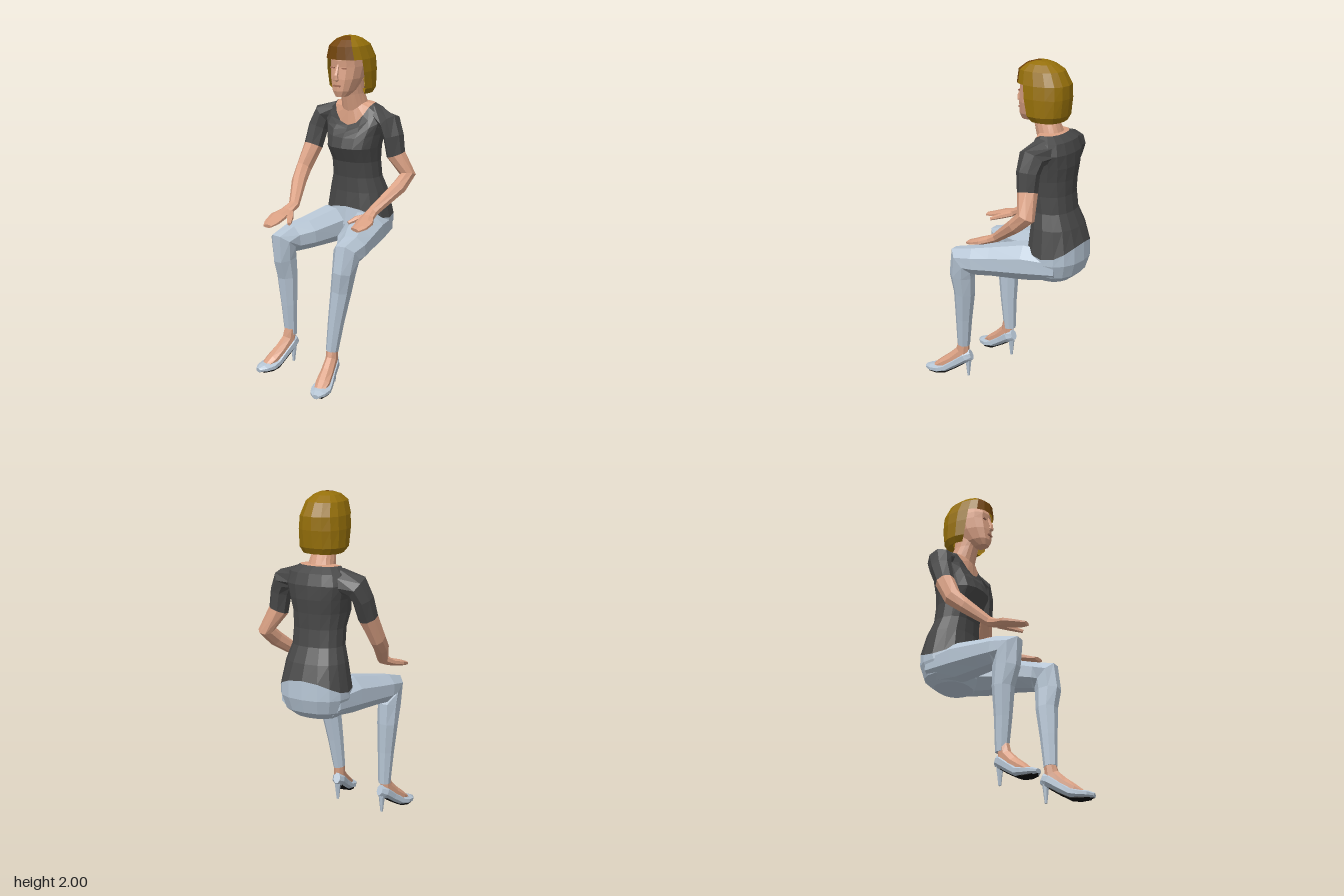
import * as THREE from 'three';

const mat = (name, color) => {
  const m = new THREE.MeshStandardMaterial({ color, flatShading: true, side: THREE.DoubleSide });
  m.name = name;
  return m;
};
const V = (x, y, z) => new THREE.Vector3(x, y, z);

// Skin stretched over a list of rings; pick(i, j) gives a material index or -1 for a gap
function loft(name, rings, mats, { pick = () => 0, start = true, end = true } = {}) {
  const n = rings[0].length, tris = mats.map(() => []);
  const tri = (k, ...pts) => pts.forEach(p => tris[k].push(p.x, p.y, p.z));
  for (let i = 0; i < rings.length - 1; i++) {
    for (let j = 0; j < n; j++) {
      const k = pick(i, j), q = (j + 1) % n;
      if (k < 0) continue;
      const [a, b, c, d] = [rings[i][j], rings[i][q], rings[i + 1][q], rings[i + 1][j]];
      tri(k, a, b, c);
      tri(k, a, c, d);
    }
  }
  const cap = (ring, flip, i) => {
    const mid = ring.reduce((s, p) => s.add(p), V(0, 0, 0)).divideScalar(n);
    ring.forEach((p, j) => {
      const q = ring[(j + 1) % n], k = Math.max(0, pick(i, j));
      flip ? tri(k, q, p, mid) : tri(k, p, q, mid);
    });
  };
  if (start) cap(rings[0], true, 0);
  if (end) cap(rings[rings.length - 1], false, rings.length - 1);
  const geo = new THREE.BufferGeometry();
  geo.setAttribute('position', new THREE.Float32BufferAttribute(tris.flat(), 3));
  let at = 0;
  tris.forEach((t, k) => { geo.addGroup(at, t.length / 3, k); at += t.length / 3; });
  geo.computeVertexNormals();
  const mesh = new THREE.Mesh(geo, mats.length > 1 ? mats : mats[0]);
  mesh.name = name;
  return mesh;
}

// Level ring: height, front z, back z, half width, lift(cos) bends its height
function level(y, front, back, rx, lift = () => 0, n = 16, square = 0.85) {
  const pw = v => Math.sign(v) * Math.abs(v) ** square;
  return Array.from({ length: n }, (_, j) => {
    const a = j / n * Math.PI * 2, c = Math.cos(a);
    return V(-0.03 + rx * pw(Math.sin(a)), y + lift(c),
      (front + back) / 2 + (front - back) / 2 * pw(c));
  });
}

// Rings across a path of [x, y, z, side radius, other radius]
function along(path, n = 8) {
  const pts = path.map(p => V(p[0], p[1], p[2])), last = pts.length - 1;
  return path.map((p, i) => {
    const back = pts[i].clone().sub(pts[Math.max(0, i - 1)]).normalize();
    const t = pts[Math.min(last, i + 1)].clone().sub(pts[i]).normalize().add(back).normalize();
    const s = V(1, 0, 0).addScaledVector(t, -t.x).normalize();
    const u = t.clone().cross(s);
    return Array.from({ length: n }, (_, j) => {
      const a = (j + 0.5) / n * Math.PI * 2;
      return pts[i].clone().addScaledVector(s, p[3] * Math.cos(a)).addScaledVector(u, p[4] * Math.sin(a));
    });
  });
}

export function createModel() {
  const skin = mat('skin', 0xd9a083), shade = mat('lip and eyelid', 0xa8705a);
  const shirt = mat('shirt grey', 0x484848), denim = mat('pale blue', 0xb6c5d4);
  const gold = mat('hair gold', 0x96700a), brown = mat('hair brown', 0x73450c);
  const black = mat('sole black', 0x0c0c0c);
  const model = new THREE.Group();
  model.name = 'seatedWoman';

  // Shirt with arched hem and scooped neckline
  const dip = d => c => -d * Math.max(0, c) ** 2;
  const hem = level(0.895, -0.165, -0.487, 0.21, c => 0.075 * c * c);
  const neckline = level(1.6, -0.18, -0.35, 0.125, dip(0.13));
  model.add(loft('shirt', [
    hem,
    level(1.06, -0.175, -0.455, 0.18),
    level(1.15, -0.175, -0.415, 0.153),
    level(1.25, -0.155, -0.405, 0.15),
    level(1.34, -0.105, -0.41, 0.162),
    level(1.42, -0.125, -0.42, 0.175, dip(0.02)),
    level(1.5, -0.15, -0.42, 0.195, dip(0.07)),
    level(1.565, -0.17, -0.4, 0.175, dip(0.115)),
    neckline,
  ], [shirt], { start: false, end: false }));

  // Pelvis
  model.add(loft('pelvis', [
    level(0.735, -0.2, -0.41, 0.13),
    level(0.78, -0.16, -0.465, 0.185),
    level(0.86, -0.15, -0.49, 0.21),
    hem,
  ], [denim], { end: false }));

  // Neck and head
  model.add(loft('neck', [
    neckline,
    level(1.605, -0.185, -0.33, 0.075, dip(0.05)),
    level(1.66, -0.16, -0.31, 0.065),
    level(1.74, -0.13, -0.3, 0.062),
  ], [skin], { start: false }));
  const flat = () => 0;
  model.add(loft('head', [
    level(1.655, -0.075, -0.16, 0.034, flat, 12),
    level(1.69, -0.063, -0.23, 0.062, flat, 12),
    level(1.76, -0.064, -0.29, 0.086, flat, 12),
    level(1.83, -0.072, -0.32, 0.094, flat, 12),
    level(1.87, -0.068, -0.32, 0.092, flat, 12),
    level(1.93, -0.09, -0.3, 0.08, flat, 12),
  ], [skin]));
  model.add(loft('nose', along([
    [-0.03, 1.845, -0.075, 0.007, 0.006],
    [-0.03, 1.785, -0.052, 0.014, 0.013],
    [-0.03, 1.762, -0.052, 0.018, 0.014],
    [-0.03, 1.753, -0.062, 0.012, 0.008],
  ], 6), [skin]));
  const plate = (name, x, y, z, w, h) => {
    const m = new THREE.Mesh(new THREE.BoxGeometry(w, h, 0.009), shade);
    m.position.set(x, y, z);
    m.name = name;
    model.add(m);
  };
  plate('mouth', -0.03, 1.722, -0.062, 0.045, 0.01);
  for (const s of [-1, 1]) plate('eyelid', -0.03 + s * 0.04, 1.825, -0.077, 0.03, 0.007);

  // Bobbed hair, open over the face, with a darker fringe
  model.add(loft('hair', [
    level(1.69, -0.2, -0.31, 0.075),
    level(1.665, -0.14, -0.345, 0.112),
    level(1.7, -0.1, -0.365, 0.135),
    level(1.8, -0.07, -0.377, 0.137),
    level(1.875, -0.058, -0.375, 0.13),
    level(1.95, -0.065, -0.335, 0.107),
    level(1.985, -0.11, -0.28, 0.07),
    level(2.0, -0.16, -0.24, 0.035),
  ], [gold, brown], {
    start: false,
    pick: (i, j) => {
      const off = Math.min(j, 15 - j);
      if (i < 4 && off < 3) return -1;
      return i >= 4 && off < 2 ? 1 : 0;
    },
  }));

  // Arms: sleeve, bare forearm and hand, thumb
  const arms = {
    right: [
      [[-0.16, 1.525, -0.3, 0.06, 0.08], [-0.265, 1.495, -0.275, 0.066, 0.08],
        [-0.29, 1.42, -0.25, 0.06, 0.07], [-0.3, 1.31, -0.21, 0.058, 0.06],
        [-0.323, 1.18, -0.14, 0.046, 0.055], [-0.305, 1.11, -0.06, 0.045, 0.046],
        [-0.25, 1.0, 0.07, 0.034, 0.03], [-0.262, 0.972, 0.13, 0.042, 0.023],
        [-0.272, 0.955, 0.2, 0.058, 0.021], [-0.268, 0.935, 0.27, 0.05, 0.016],
        [-0.262, 0.925, 0.32, 0.03, 0.011]],
      [[-0.24, 0.97, 0.12, 0.02, 0.018], [-0.2, 0.955, 0.18, 0.022, 0.017], [-0.163, 0.935, 0.24, 0.012, 0.01]],
    ],
    left: [
      [[0.1, 1.525, -0.3, 0.06, 0.08], [0.205, 1.495, -0.275, 0.066, 0.08],
        [0.235, 1.42, -0.27, 0.06, 0.07], [0.25, 1.31, -0.275, 0.058, 0.06],
        [0.317, 1.19, -0.305, 0.046, 0.055], [0.302, 1.125, -0.23, 0.045, 0.046],
        [0.225, 1.0, -0.06, 0.034, 0.03], [0.222, 0.975, -0.01, 0.042, 0.023],
        [0.235, 0.96, 0.04, 0.056, 0.021], [0.235, 0.945, 0.09, 0.05, 0.016],
        [0.225, 0.935, 0.13, 0.035, 0.011]],
      [[0.2, 0.975, -0.03, 0.02, 0.018], [0.16, 0.965, 0.01, 0.022, 0.017], [0.13, 0.945, 0.055, 0.012, 0.01]],
    ],
  };
  for (const [side, [path, thumb]] of Object.entries(arms)) {
    const rings = along(path);
    model.add(loft(side + 'Sleeve', rings.slice(0, 4), [shirt]));
    model.add(loft(side + 'ForearmAndHand', rings.slice(3), [skin]));
    model.add(loft(side + 'Thumb', along(thumb, 6), [skin]));
  }

  // Trouser legs, hip to ankle
  const legs = {
    right: [[-0.13, 0.84, -0.38, 0.1, 0.09], [-0.15, 0.84, -0.18, 0.12, 0.115],
      [-0.2, 0.82, 0.02, 0.105, 0.095], [-0.235, 0.81, 0.12, 0.085, 0.088],
      [-0.242, 0.8, 0.19, 0.075, 0.1], [-0.243, 0.7, 0.175, 0.066, 0.085],
      [-0.242, 0.58, 0.155, 0.062, 0.066], [-0.235, 0.4, 0.15, 0.049, 0.052], [-0.232, 0.2, 0.14, 0.037, 0.038]],
    left: [[0.07, 0.84, -0.38, 0.1, 0.09], [0.1, 0.84, -0.18, 0.125, 0.115],
      [0.155, 0.82, 0.02, 0.112, 0.095], [0.195, 0.81, 0.12, 0.092, 0.088],
      [0.208, 0.8, 0.19, 0.077, 0.1], [0.2, 0.7, 0.205, 0.068, 0.08],
      [0.18, 0.58, 0.205, 0.062, 0.066], [0.16, 0.4, 0.225, 0.049, 0.052], [0.142, 0.21, 0.242, 0.037, 0.04]],
  };
  for (const [side, path] of Object.entries(legs)) model.add(loft(side + 'Leg', along(path), [denim]));

  // Bare foot in a heeled pump with a dark sole
  const foot = (side, x, y, z, yaw) => {
    const g = new THREE.Group();
    g.name = side + 'Foot';
    g.add(loft('instep', along([
      [0, 0.225, 0.045, 0.034, 0.036], [0, 0.16, 0.055, 0.035, 0.045],
      [0, 0.1, 0.12, 0.04, 0.042], [0, 0.06, 0.19, 0.045, 0.03], [0, 0.035, 0.24, 0.035, 0.015],
    ]), [skin]));
    g.add(loft('shoe', along([
      [0, 0.145, -0.002, 0.022, 0.035], [0, 0.13, 0.035, 0.042, 0.042],
      [0, 0.085, 0.1, 0.046, 0.036], [0, 0.042, 0.165, 0.056, 0.032],
      [0, 0.028, 0.215, 0.064, 0.028], [0, 0.023, 0.265, 0.05, 0.023], [0, 0.018, 0.3, 0.02, 0.014],
    ]), [denim, black], { pick: (i, j) => (i > 0 && i < 6 && (j === 5 || j === 4 || j === 6) ? (j === 5 ? 1 : 0) : 0) }));
    // flat black sole under the arch and toe
    g.add(loft('sole', along([
      [0, 0.085, 0.04, 0.025, 0.004], [0, 0.046, 0.1, 0.032, 0.004],
      [0, 0.01, 0.165, 0.045, 0.004], [0, 0.004, 0.215, 0.052, 0.004], [0, 0.004, 0.275, 0.034, 0.004],
    ], 6), [black]));
    const heel = new THREE.Mesh(new THREE.CylinderGeometry(0.022, 0.008, 0.12, 6), denim);
    heel.position.set(0, 0.06, 0.018);
    heel.name = 'heel';
    g.add(heel);
    g.position.set(x, y, z);
    g.rotation.y = yaw;
    model.add(g);
  };
  foot('left', 0.133, 0, 0.195, 0.2);
  foot('right', -0.22, 0.016, 0.105, -0.24);

  return model;
}
